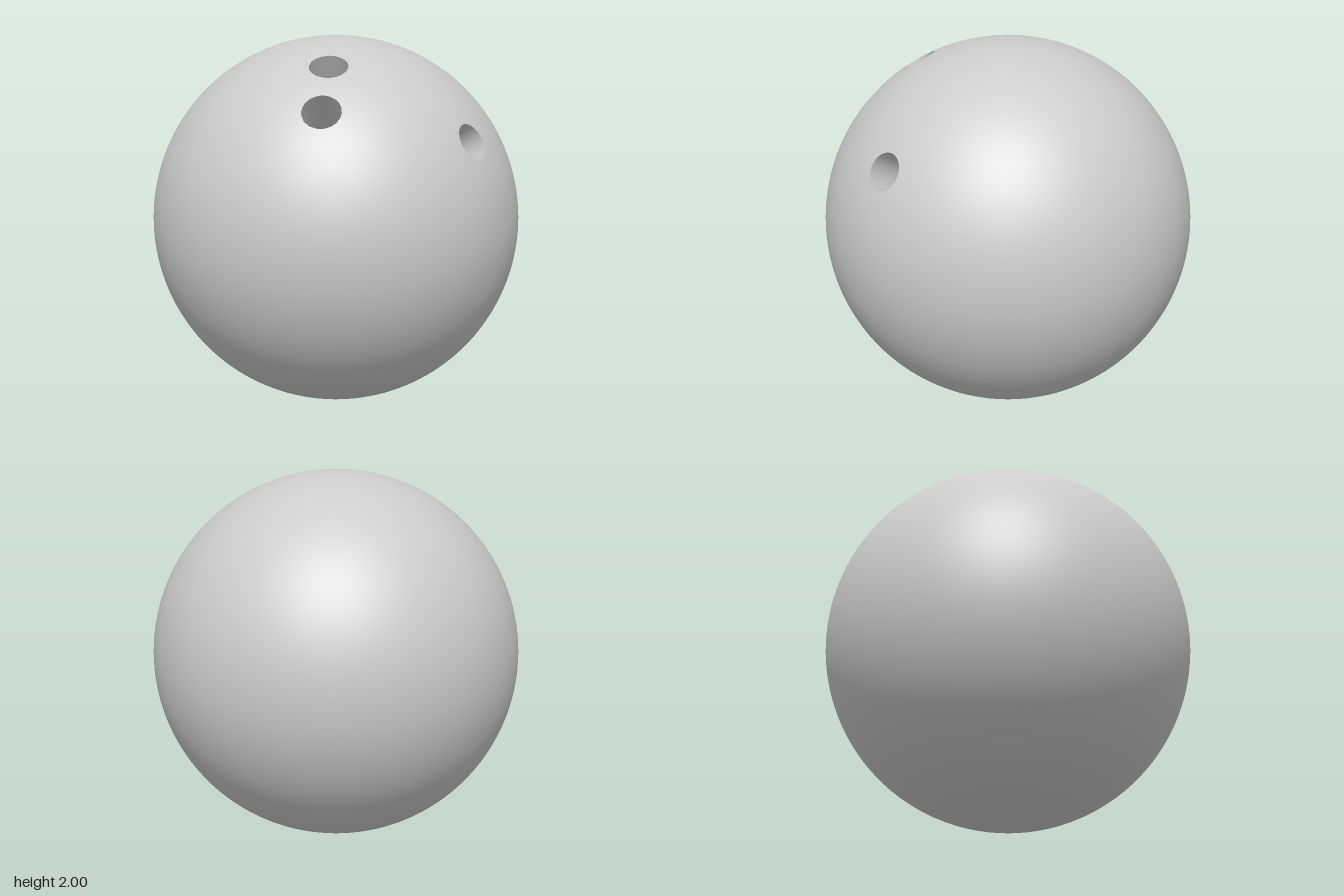
import * as THREE from 'three';

const material = new THREE.MeshStandardMaterial({ color: 0xcccccc, roughness: 0.8, side: THREE.DoubleSide });
const HOLE_RADIUS = 0.1;
const HOLE_DEPTH = 0.5;
const RIM = Math.sqrt(1 - HOLE_RADIUS ** 2); // rim distance from the ball centre

// Directions of the three finger holes from the ball centre
const holes = {
  thumbHole: new THREE.Vector3(0.3, 0.49, 0.81).normalize(),
  upperFingerHole: new THREE.Vector3(-0.29, 0.86, 0.39).normalize(),
  lowerFingerHole: new THREE.Vector3(-0.45, 0.66, 0.58).normalize(),
};

// Unit sphere with round openings: faces inside an opening are dropped,
// and the remaining corners that reach into it are slid out to its rim
function piercedSphere(axes) {
  const source = new THREE.IcosahedronGeometry(1, 40).getAttribute('position');
  const points = [];
  for (let i = 0; i < source.count; i += 3) {
    const face = [0, 1, 2].map((k) => new THREE.Vector3().fromBufferAttribute(source, i + k));
    if (axes.some((axis) => face.every((p) => p.dot(axis) >= RIM))) continue;
    for (const p of face) {
      for (const axis of axes) {
        if (p.dot(axis) <= RIM) continue;
        p.addScaledVector(axis, -p.dot(axis)).setLength(HOLE_RADIUS).addScaledVector(axis, RIM);
      }
      points.push(p.x, p.y, p.z);
    }
  }
  const geometry = new THREE.BufferGeometry();
  geometry.setAttribute('position', new THREE.Float32BufferAttribute(points, 3));
  // On a unit sphere the smooth normals equal the positions
  geometry.setAttribute('normal', new THREE.Float32BufferAttribute(points, 3));
  return geometry;
}

// Drilled bore: inward-facing wall and a flat floor, along +y
function createBore(name, axis) {
  const bore = new THREE.Group();
  bore.name = name;
  const profile = [new THREE.Vector2(HOLE_RADIUS, RIM), new THREE.Vector2(HOLE_RADIUS, RIM - HOLE_DEPTH)];
  const wall = new THREE.Mesh(new THREE.LatheGeometry(profile, 32), material);
  wall.name = name + 'Wall';
  const floor = new THREE.Mesh(new THREE.CircleGeometry(HOLE_RADIUS, 32), material);
  floor.name = name + 'Floor';
  floor.rotation.x = -Math.PI / 2;
  floor.position.y = RIM - HOLE_DEPTH;
  bore.add(wall, floor);
  bore.quaternion.setFromUnitVectors(new THREE.Vector3(0, 1, 0), axis);
  return bore;
}

export function createModel() {
  const ball = new THREE.Group();
  ball.name = 'bowlingBall';
  const shell = new THREE.Mesh(piercedSphere(Object.values(holes)), material);
  shell.name = 'shell';
  ball.add(shell);
  for (const [name, axis] of Object.entries(holes)) ball.add(createBore(name, axis));
  ball.position.y = 1;

  const model = new THREE.Group();
  model.add(ball);
  return model;
}
